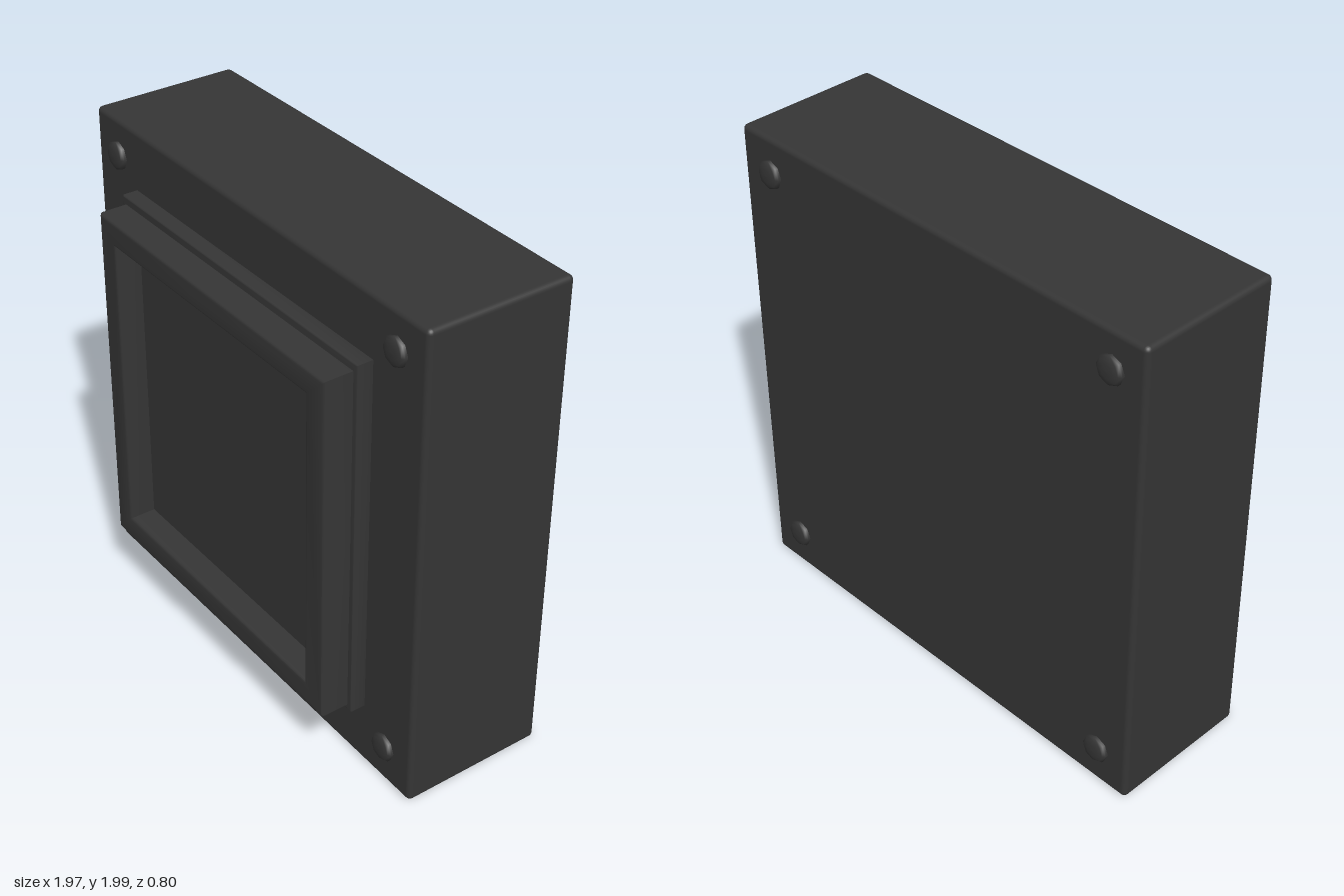
import * as THREE from 'three';
import { toCreasedNormals } from 'three/addons/utils/BufferGeometryUtils.js';
import { RoundedBoxGeometry } from 'three/addons/geometries/RoundedBoxGeometry.js';

const BODY = { w: 1.97, h: 1.99, back: -0.378, front: 0.217 };
const PANEL_Z = 0.29;

// Rectangle from its left, right, bottom and top
function rect(Type, l, r, b, t) {
  return new Type([[l, b], [r, b], [r, t], [l, t]].map(([x, y]) => new THREE.Vector2(x, y)));
}

// Bevelled plate between two depths, with an optional rectangular hole
function plate(outer, hole, z0, z1, bevel) {
  const shape = rect(THREE.Shape, ...outer);
  if (hole) shape.holes.push(rect(THREE.Path, ...hole));
  const geometry = new THREE.ExtrudeGeometry(shape, {
    depth: z1 - z0 - 2 * bevel,
    bevelThickness: bevel,
    bevelSize: bevel,
    bevelOffset: -bevel,
    bevelSegments: 3,
  });
  geometry.translate(0, 0, z0 + bevel);
  return toCreasedNormals(geometry, 0.8);
}

export function createModel() {
  const group = new THREE.Group();
  const charcoal = new THREE.MeshStandardMaterial({ color: 0x353535 });
  charcoal.name = 'charcoal';

  const add = (name, geometry) => {
    const mesh = new THREE.Mesh(geometry, charcoal);
    mesh.name = name;
    group.add(mesh);
    return mesh;
  };

  // Main slab with softened edges
  const body = add('body', new RoundedBoxGeometry(BODY.w, BODY.h, BODY.front - BODY.back, 3, 0.02));
  body.position.set(0, 1.005, (BODY.front + BODY.back) / 2);

  // Stepped frame around a recessed panel
  const opening = [-0.595, 0.585, 0.4, 1.63];
  add('frameBase', plate([-0.72, 0.713, 0.278, 1.76], opening, 0.2, 0.28, 0.006));
  add('frame', plate([-0.698, 0.692, 0.3, 1.73], opening, 0.21, 0.395, 0.014));
  const panel = add('panel', new THREE.BoxGeometry(1.2, 1.25, 0.08));
  panel.position.set(-0.005, 1.015, PANEL_Z - 0.04);

  // Domed eight-sided bolts at the corners of both faces
  const profile = [[0.056, -0.01], [0.056, 0.012], [0.046, 0.021], [0.025, 0.025], [0, 0.026]];
  const boltGeometry = new THREE.LatheGeometry(profile.map(([r, y]) => new THREE.Vector2(r, y)), 8);
  for (const side of [1, -1]) {
    for (const x of [-0.84, 0.832]) {
      for (const y of [0.17, 1.855]) {
        const bolt = add(side > 0 ? 'frontBolt' : 'backBolt', boltGeometry);
        bolt.rotation.x = side * Math.PI / 2;
        bolt.position.set(x, y, side > 0 ? BODY.front : BODY.back);
      }
    }
  }

  return group;
}
